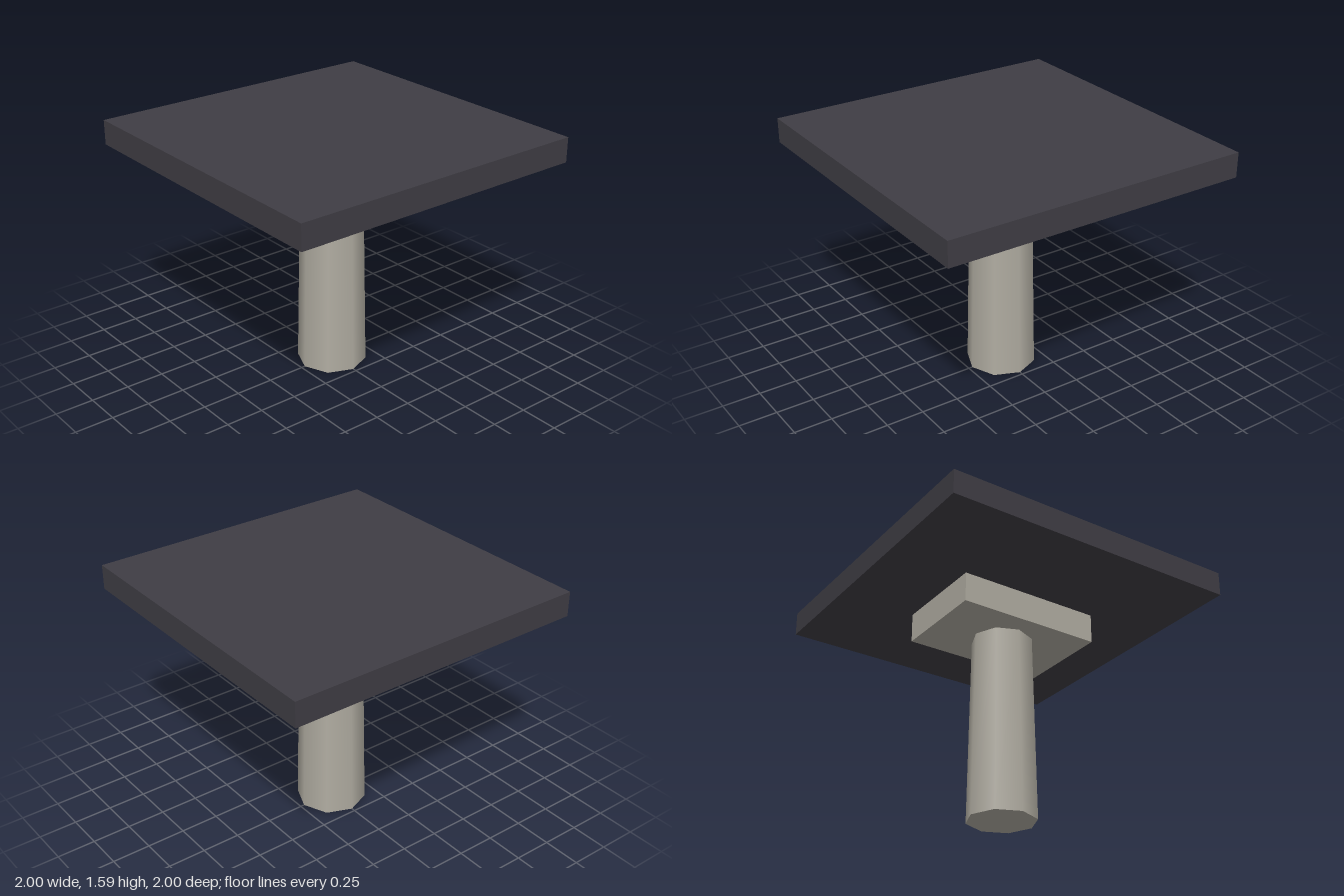
import * as THREE from 'three';

export function createModel() {
  const model = new THREE.Group();
  const stone = new THREE.MeshStandardMaterial({ color: 0xb0aca1 });
  stone.name = 'paleStone';
  const slate = new THREE.MeshStandardMaterial({ color: 0x3f3d44 });
  slate.name = 'darkSlate';

  // Adds a named part whose underside rests at the given height
  const addPart = (name, geometry, material, bottom, height) => {
    const mesh = new THREE.Mesh(geometry, material);
    mesh.name = name;
    mesh.position.y = bottom + height / 2;
    model.add(mesh);
  };

  // Tapered eight-sided column with smooth sides
  addPart('column', new THREE.CylinderGeometry(0.198, 0.224, 1.23, 8), stone, 0, 1.23);
  // Oblong block between column and slab
  addPart('capital', new THREE.BoxGeometry(0.97, 0.195, 0.648), stone, 1.23, 0.195);
  // Square slab on top
  addPart('slab', new THREE.BoxGeometry(2, 0.16, 2), slate, 1.425, 0.16);

  return model;
}
